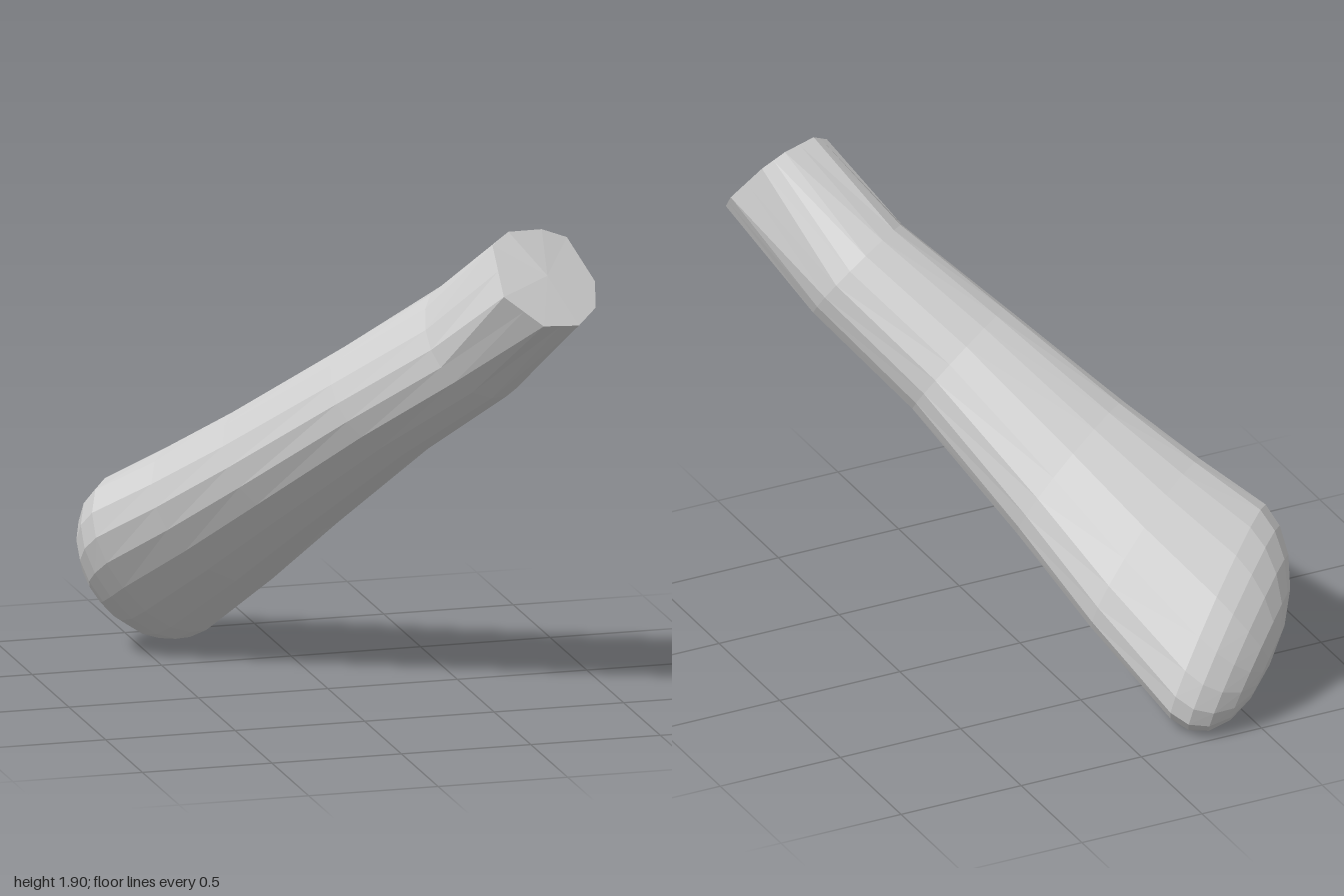
import * as THREE from 'three';

const SIDES = 18;

// Limb axes: along the length, across the flat side, and through the thickness
const along = new THREE.Vector3(0.454, 0.6, 0.66).normalize();
const across = new THREE.Vector3(0.88, -0.42, -0.22);
across.addScaledVector(along, -across.dot(along)).normalize();
const through = new THREE.Vector3().crossVectors(along, across);

const place = (w, t, s) => new THREE.Vector3(0, 1, 0)
  .addScaledVector(across, w).addScaledVector(through, t).addScaledVector(along, s);

// Rounded cross-section; slopes tilt the ring, thin narrows its +w side
function ring({ s, w: [w0, w1], t: [t0, t1], slopeW = 0, slopeT = 0, k = 1, thin = 0 }) {
  const points = [];
  for (let i = 0; i < SIDES; i++) {
    const a = (i / SIDES) * Math.PI * 2 + 0.1;
    const c = Math.cos(a), n = Math.sin(a);
    const w = (w0 + w1) / 2 + k * (w1 - w0) / 2 * Math.sign(c) * Math.abs(c) ** 0.9;
    const t = (t0 + t1) / 2
      + k * (t1 - t0) / 2 * Math.sign(n) * Math.abs(n) ** 0.9 * (1 - thin * Math.max(c, 0));
    points.push(place(w, t, s + slopeW * (w - 0.02) + slopeT * t));
  }
  return points;
}

// Flat nine-sided end, with a midpoint on every edge
function cutRing() {
  const corners = [
    [0.81, 1.69, 0.78], [0.73, 1.84, 0.68], [0.63, 1.88, 0.69],
    [0.49, 1.89, 0.73], [0.42, 1.85, 0.76], [0.41, 1.70, 0.95],
    [0.55, 1.59, 1.00], [0.70, 1.57, 0.95], [0.79, 1.61, 0.86],
  ].map((p) => new THREE.Vector3(...p));
  return corners.flatMap((p, i) => [p, p.clone().lerp(corners[(i + 1) % 9], 0.5)]);
}

const middle = (points) => points
  .reduce((sum, p) => sum.add(p), new THREE.Vector3()).divideScalar(points.length);

function build(positions, material, name) {
  const geometry = new THREE.BufferGeometry();
  geometry.setAttribute('position',
    new THREE.Float32BufferAttribute(positions.flatMap((p) => p.toArray()), 3));
  geometry.computeVertexNormals();
  const mesh = new THREE.Mesh(geometry, material);
  mesh.name = name;
  return mesh;
}

export function createModel() {
  const grey = new THREE.MeshStandardMaterial({ color: 0xd0d0d0, flatShading: true });
  grey.name = 'plain grey';

  // Shaft, widening from the cut end towards the paddle
  const rings = [
    cutRing(),
    ring({ s: 0.78, w: [-0.155, 0.303], t: [-0.258, 0.21] }),
    ring({ s: 0.28, w: [-0.22, 0.292], t: [-0.25, 0.195], slopeW: -0.05 }),
    ring({ s: -0.3, w: [-0.288, 0.35], t: [-0.245, 0.205], slopeW: -0.1, slopeT: 0.1, thin: 0.08 }),
    ring({ s: -0.7, w: [-0.34, 0.41], t: [-0.24, 0.222], slopeW: -0.2, slopeT: 0.2, thin: 0.15 }),
  ];
  // Slanted, rounded paddle end
  const steps = 5;
  for (let i = 0; i < steps; i++) {
    const a = (i / steps) * Math.PI / 2;
    rings.push(ring({
      s: -1.07 - 0.275 * Math.sin(a), k: Math.cos(a) ** 0.9,
      w: [-0.395, 0.445], t: [-0.235, 0.235],
      slopeW: -0.37, slopeT: 0.2 * Math.cos(a), thin: 0.22,
    }));
  }

  const skin = [];
  for (let r = 0; r < rings.length - 1; r++) {
    for (let i = 0; i < SIDES; i++) {
      const j = (i + 1) % SIDES, a = rings[r], b = rings[r + 1];
      skin.push(a[i], b[i], b[j], a[i], b[j], a[j]);
    }
  }
  // Closing tip of the paddle
  const last = rings[rings.length - 1];
  const tip = middle(last).addScaledVector(along, -0.012);
  last.forEach((p, i) => skin.push(p, tip, last[(i + 1) % SIDES]));

  // Flat cut end
  const cut = [], hub = middle(rings[0]);
  rings[0].forEach((p, i) => cut.push(hub, p, rings[0][(i + 1) % SIDES]));

  const group = new THREE.Group();
  group.name = 'flaredLimb';
  group.add(build(skin, grey, 'limbBody'), build(cut, grey, 'cutEnd'));
  return group;
}
